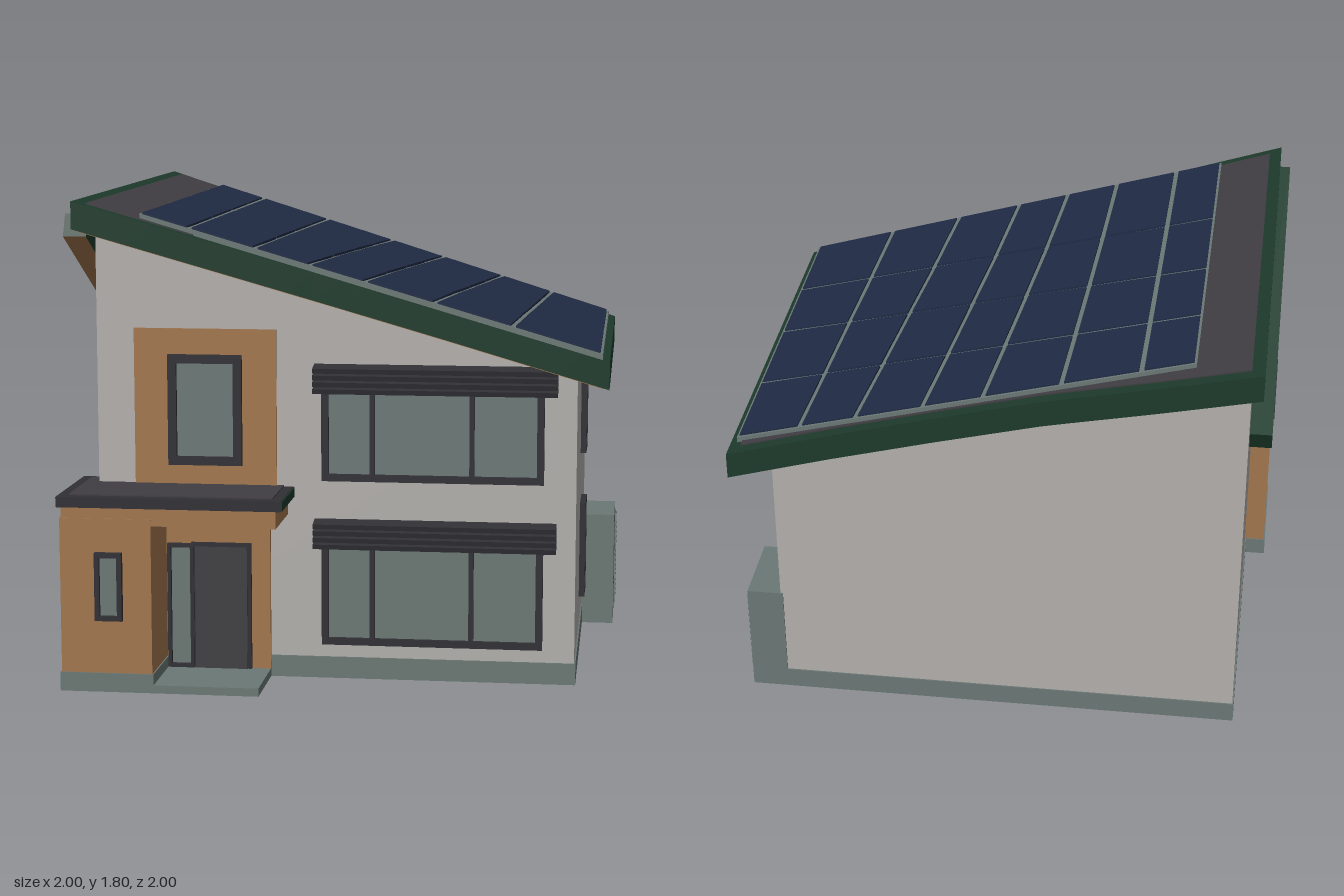
import * as THREE from 'three';

const mat = (name, color, side = THREE.FrontSide) => {
  const m = new THREE.MeshStandardMaterial({ color, side });
  m.name = name;
  return m;
};

export function createModel() {
  const house = new THREE.Group();
  house.name = 'house';
  const wall = mat('wall plaster', 0xb2afac);
  const timber = mat('timber', 0xa2764e);
  const slate = mat('grey green', 0x6b7875);
  const charcoal = mat('charcoal', 0x403e42);
  const dark = mat('dark frame', 0x302f34);
  const green = mat('roof green', 0x1d3a2b);
  const navy = mat('solar navy', 0x1f2a44);

  const add = (name, geometry, material, parent = house) => {
    const mesh = new THREE.Mesh(geometry, material);
    mesh.name = name;
    parent.add(mesh);
    return mesh;
  };
  const box = (name, m, x0, x1, y0, y1, z0, z1, parent = house) => {
    const g = new THREE.BoxGeometry(x1 - x0, y1 - y0, z1 - z0);
    g.translate((x0 + x1) / 2, (y0 + y1) / 2, (z0 + z1) / 2);
    return add(name, g, m, parent);
  };
  const lerp = THREE.MathUtils.lerp;

  // Main walls with sloping top
  const section = new THREE.Shape([[-0.91, 0.02], [0.86, 0.02], [0.86, 1.18], [-0.91, 1.71]].map(p => new THREE.Vector2(...p)));
  const body = new THREE.ExtrudeGeometry(section, { depth: 1.28, bevelEnabled: false });
  body.translate(0, 0, -0.6);
  add('walls', body, wall);
  box('plinth', slate, -0.915, 0.865, 0, 0.08, -0.605, 0.687);

  // Roof: boxes bent onto the sloping, flaring roof plane
  const roofY = (x, z) => 1.501 - 0.2987 * x - 0.016 * z * (0.975 - x) / 1.92;
  const curve = pts => x => {
    let i = 0;
    while (i < pts.length - 2 && x > pts[i + 1][0]) i++;
    const [a, b] = [pts[i], pts[i + 1]];
    return lerp(a[1], b[1], (x - a[0]) / (b[0] - a[0]));
  };
  const backEdge = curve([[-0.955, -1], [-0.6, -0.945], [-0.2, -0.875], [0.2, -0.84], [0.6, -0.815], [0.975, -0.805]]);
  const frontEdge = curve([[-0.955, 0.865], [-0.4, 0.825], [0, 0.8], [0.4, 0.785], [0.975, 0.785]]);
  const roofSlab = (name, m, plan, bottom, top, segments, parent = house) => {
    const g = new THREE.BoxGeometry(1, 1, 1, segments, 1, 1);
    const p = g.attributes.position;
    for (let i = 0; i < p.count; i++) {
      const [x, z] = plan(p.getX(i) + 0.5, p.getZ(i) + 0.5);
      p.setXYZ(i, x, roofY(x, z) + (p.getY(i) > 0 ? top : bottom), z);
    }
    g.computeVertexNormals();
    return add(name, g, m, parent);
  };
  const inset = d => (u, v) => {
    const x = lerp(-0.955 + d, 0.975 - d, u);
    return [x, lerp(backEdge(x) + d, frontEdge(x) - d, v)];
  };
  roofSlab('roofFascia', green, inset(0), -0.1, 0, 20);
  roofSlab('roofDeck', charcoal, inset(0.045), -0.01, 0.005, 20);
  roofSlab('soffit', timber, inset(0.02), -0.105, -0.09, 20);

  // Solar array, 7 by 4 cells in a slightly skewed grid
  const colBack = [-0.72, -0.53, -0.25, 0.03, 0.25, 0.5, 0.71, 0.95];
  const colFront = [-0.72, -0.54, -0.3, -0.1, 0.1, 0.35, 0.63, 0.95];
  const rowLeft = [-0.855, -0.507, -0.144, 0.277, 0.79];
  const rowRight = [-0.73, -0.347, 0.048, 0.395, 0.78];
  const gridPoint = (i, j) => {
    const v = (j + 0) / 4;
    const x = lerp(colBack[i], colFront[i], v);
    return [x, lerp(rowLeft[j], rowRight[j], (x + 0.72) / 1.67)];
  };
  const solar = new THREE.Group();
  solar.name = 'solarArray';
  house.add(solar);
  const patch = (i0, i1, j0, j1, gap) => (u, v) => {
    const a = gridPoint(u < 0.5 ? i0 : i1, v < 0.5 ? j0 : j1);
    return [a[0] + (u < 0.5 ? gap : -gap), a[1] + (v < 0.5 ? gap : -gap)];
  };
  roofSlab('solarBacking', slate, patch(0, 7, 0, 4, 0), 0, 0.021, 1, solar);
  for (let i = 0; i < 7; i++) {
    for (let j = 0; j < 4; j++) roofSlab('solarCell', navy, patch(i, i + 1, j, j + 1, 0.009), 0.018, 0.027, 1, solar);
  }

  // Sloping brace on the outer left-hand gable
  const brace = add('gableBrace', new THREE.BoxGeometry(0.085, 0.09, 1.27),
    [green, green, green, timber, green, green]);
  brace.position.set(-0.952, 1.405, 0.235);
  brace.rotation.x = -0.455;

  // Framed window facing +z, split into panes at the given x offsets
  const makeWindow = (name, w, h, splits = [], f = 0.026) => {
    const g = new THREE.Group();
    g.name = name;
    const rect = (T, x0, x1, y0, y1) => new T([[x0, y0], [x1, y0], [x1, y1], [x0, y1]].map(p => new THREE.Vector2(...p)));
    const frame = rect(THREE.Shape, -w / 2, w / 2, -h / 2, h / 2);
    const edges = [-w / 2 + f / 2, ...splits, w / 2 - f / 2];
    for (let i = 0; i < edges.length - 1; i++) {
      const l = edges[i] + (i ? 0.009 : f / 2);
      const r = edges[i + 1] - (i < edges.length - 2 ? 0.009 : f / 2);
      frame.holes.push(rect(THREE.Path, l, r, -h / 2 + f, h / 2 - f));
    }
    add('windowFrame', new THREE.ExtrudeGeometry(frame, { depth: 0.022, bevelEnabled: false }), dark, g);
    box('glass', slate, -w / 2 + 0.01, w / 2 - 0.01, -h / 2 + 0.01, h / 2 - 0.01, 0, 0.007, g);
    house.add(g);
    return g;
  };

  // Wide front windows with slatted sunshades
  for (const [y0, y1, shade] of [[0.13, 0.52, 0.5], [0.745, 1.1, 1.075]]) {
    makeWindow('frontWindow', 0.815, y1 - y0, [-0.22, 0.145]).position.set(0.335, (y0 + y1) / 2, 0.68);
    for (let i = 0; i < 4; i++) {
      const slat = box('sunshadeSlat', dark, -0.445, 0.445, -0.009, 0.009, -0.03, 0.03);
      slat.position.set(0.345, shade + 0.012 + i * 0.025, 0.71);
      slat.rotation.x = 0.2;
    }
  }

  // Upper left window in its timber surround
  box('timberSurround', timber, -0.77, -0.24, 0.7, 1.3, 0.67, 0.688);
  makeWindow('upperWindow', 0.275, 0.41, [], 0.032).position.set(-0.505, 1.0, 0.684);

  // Side windows
  for (const [y0, y1] of [[0.2, 0.57], [0.77, 1.08]]) {
    const w = makeWindow('sideWindow', 0.205, y1 - y0);
    w.position.set(0.86, (y0 + y1) / 2, 0);
    w.rotation.y = Math.PI / 2;
  }

  // Porch block, entrance wall and step
  box('porchBlock', timber, -0.99, -0.655, 0.06, 0.64, 0.55, 0.975);
  box('porchPlinth', slate, -0.995, -0.65, 0, 0.07, 0.545, 0.98);
  makeWindow('porchWindow', 0.1, 0.25, [], 0.018).position.set(-0.81, 0.392, 0.975);
  box('entranceWall', timber, -0.655, -0.265, 0.03, 0.64, 0.67, 0.695);
  box('entranceStep', slate, -0.65, -0.265, 0, 0.03, 0.67, 0.98);

  // Door with side light
  makeWindow('doorSideLight', 0.1, 0.47, [], 0.014).position.set(-0.6, 0.265, 0.692);
  box('doorFrame', dark, -0.56, -0.335, 0.03, 0.505, 0.69, 0.708);
  box('door', charcoal, -0.545, -0.35, 0.03, 0.49, 0.7, 0.713);

  // Porch canopy
  box('canopyBeam', timber, -0.985, -0.2, 0.615, 0.69, 0.555, 0.972);
  box('canopySlab', dark, -1, -0.18, 0.68, 0.718, 0.55, 0.985);
  box('canopyDeck', charcoal, -0.96, -0.215, 0.715, 0.723, 0.58, 0.945);
  box('canopyEndTrim', green, -0.182, -0.175, 0.682, 0.716, 0.68, 0.984);

  // Outdoor unit with louvred side
  box('outdoorUnit', slate, 0.85, 0.99, 0, 0.45, -0.605, -0.3);
  box('louvreRecess', charcoal, 0.985, 0.992, 0.07, 0.42, -0.59, -0.325);
  for (let i = 0; i < 12; i++) {
    const y = 0.08 + i * 0.029;
    box('louvre', slate, 0.988, 0.998, y, y + 0.013, -0.585, -0.33);
  }
  return house;
}
